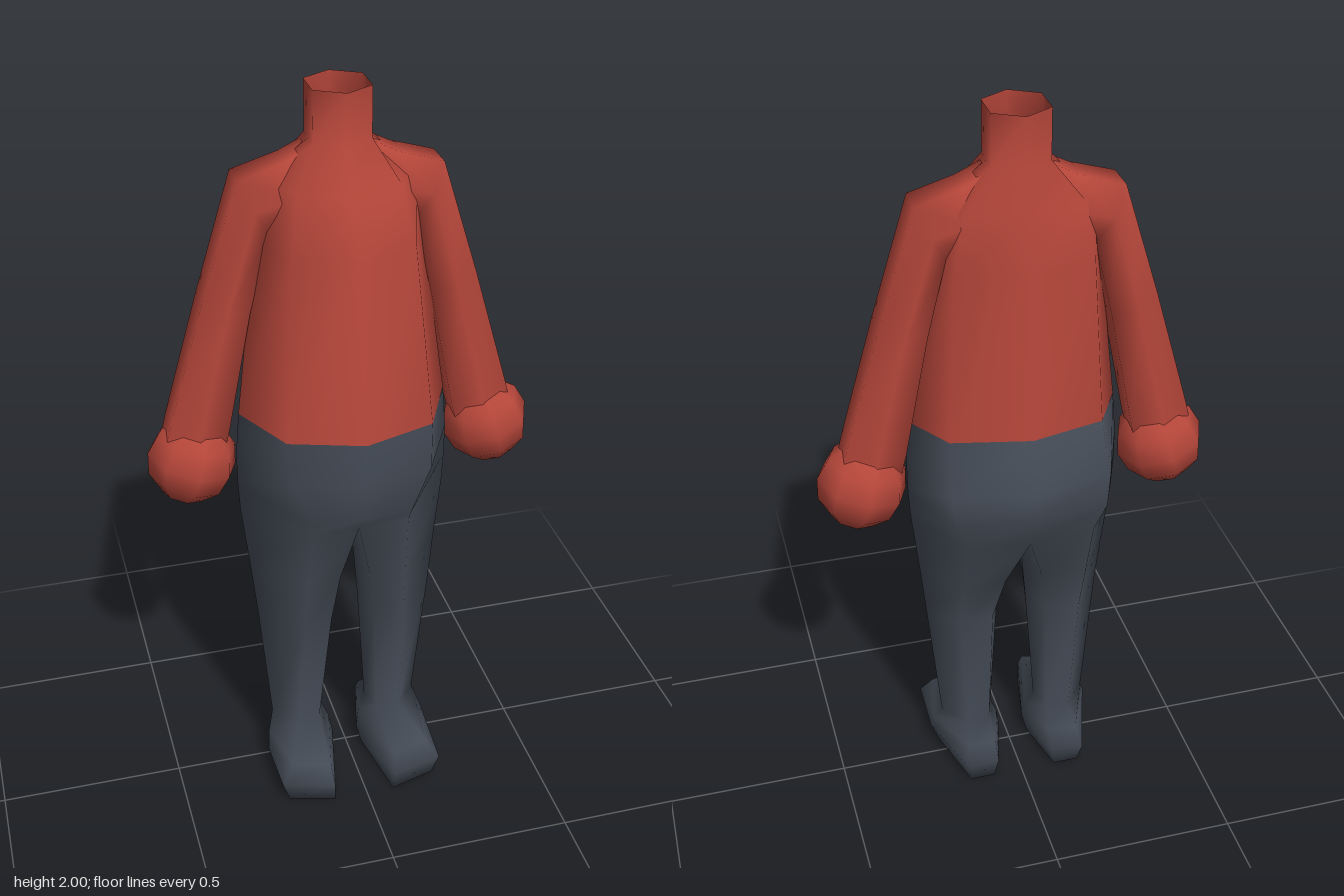
import * as THREE from 'three';
import { mergeGeometries, mergeVertices } from 'three/addons/utils/BufferGeometryUtils.js';

// Skin between closed rings of [x, y, z] points, listed bottom to top.
function loft(rings, capBottom = false) {
  const n = rings[0].length;
  const index = [];
  for (let r = 0; r < rings.length - 1; r++) {
    for (let j = 0; j < n; j++) {
      const k = (j + 1) % n;
      const a = r * n + j, b = r * n + k;
      index.push(a, b, b + n, a, b + n, a + n);
    }
  }
  if (capBottom) for (let j = 1; j < n - 1; j++) index.push(0, j + 1, j);
  const g = new THREE.BufferGeometry();
  g.setAttribute('position', new THREE.Float32BufferAttribute(rings.flat(2), 3));
  g.setIndex(index);
  return g;
}

// Weld touching pieces so shading runs smoothly across them.
function weld(...parts) {
  const g = mergeVertices(parts.length > 1 ? mergeGeometries(parts) : parts[0], 1e-4);
  g.computeVertexNormals();
  return g;
}

const flip = ([x, y, z]) => [-x, y, z];
const mirrorRings = (rings) => rings.map((ring) => ring.map(flip).reverse());

// Full body ring from its right-hand half: front, front side, side, back side, back.
const bodyRing = (half) => [...half, ...half.slice(1, 4).reverse().map(flip)];
const level = (y, pts) => pts.map(([x, z]) => [x, y, z]);

export function createModel() {
  const model = new THREE.Group();
  const shirt = new THREE.MeshStandardMaterial({ color: 0xb5463a, side: THREE.DoubleSide });
  shirt.name = 'red shirt';
  const slate = new THREE.MeshStandardMaterial({ color: 0x454c57, side: THREE.DoubleSide });
  slate.name = 'slate trousers';

  const add = (name, geometry, material, parent) => {
    const mesh = new THREE.Mesh(geometry, material);
    mesh.name = name;
    parent.add(mesh);
    return mesh;
  };

  const body = new THREE.Group();
  body.name = 'body';
  body.position.x = -0.008;
  model.add(body);

  // Torso with an open hexagonal neck
  const waist = [[0, 1.16, 0.24], [0.19, 1.16, 0.178], [0.275, 1.16, 0], [0.2, 1.17, -0.14], [0, 1.18, -0.2]];
  const neck = [[0, 0.053], [0.073, 0.01], [0.073, -0.035], [0.073, -0.08], [0, -0.122]];
  const torso = [
    waist,
    level(1.62, [[0, 0.16], [0.155, 0.12], [0.215, -0.03], [0.175, -0.12], [0, -0.158]]),
    level(1.77, [[0, 0.102], [0.13, 0.07], [0.2, -0.04], [0.15, -0.115], [0, -0.14]]),
    level(1.87, neck),
    level(2.0, neck),
  ].map(bodyRing);
  add('torso', weld(loft(torso)), shirt, body);

  // Trousers: hips, then two legs sharing the crotch points
  const crotch = [[0, 0.87, 0.17], [0.13, 0.88, 0.182], [0.28, 0.87, 0], [0.17, 0.87, -0.19], [0, 0.85, -0.185]];
  const hips = [
    crotch,
    [[0, 0.92, 0.205], [0.13, 0.92, 0.205], [0.284, 0.95, 0], [0.2, 0.95, -0.205], [0, 0.95, -0.22]],
    level(1.04, [[0, 0.235], [0.185, 0.195], [0.285, 0], [0.21, -0.195], [0, -0.245]]),
    waist,
  ].map(bodyRing);

  // Foot and leg, sole upward: inner front, front, outer, back, inner back, inner
  const leg = [
    level(0, [[0.085, 0.24], [0.21, 0.205], [0.21, 0.04], [0.16, -0.14], [0.09, -0.14], [0.05, 0.02]]),
    level(0.06, [[0.088, 0.25], [0.23, 0.213], [0.235, 0.05], [0.17, -0.156], [0.08, -0.15], [0.036, 0.02]]),
    level(0.11, [[0.092, 0.22], [0.195, 0.19], [0.228, 0.03], [0.16, -0.12], [0.08, -0.115], [0.045, 0.01]]),
    level(0.16, [[0.085, 0.06], [0.15, 0.07], [0.21, 0], [0.15, -0.075], [0.085, -0.062], [0.065, 0]]),
    level(0.54, [[0.06, 0.11], [0.14, 0.13], [0.245, 0.01], [0.17, -0.086], [0.075, -0.075], [0.04, 0.01]]),
    level(0.69, [[0.04, 0.13], [0.135, 0.152], [0.26, 0.005], [0.17, -0.135], [0.05, -0.12], [0.028, 0.01]]),
    [...crotch, [0, 0.84, 0]],
  ];
  add('trousersAndFeet', weld(loft(hips), loft(leg, true), loft(mirrorRings(leg), true)), slate, body);

  // Arms: hexagonal rings from an outer point, an inner point and a half depth
  const armRing = ([ox, oy], [ix, iy], d) => {
    const at = (t, z) => [ox + (ix - ox) * t, oy + (iy - oy) * t, -0.04 + z];
    return [at(0.5, d), at(0, d * 0.55), at(0, -d * 0.55), at(0.5, -d), at(1, -d * 0.55), at(1, d * 0.55)];
  };
  const arm = [
    armRing([0.465, 1.09], [0.315, 1.05], 0.072),
    armRing([0.45, 1.15], [0.3, 1.11], 0.072),
    armRing([0.355, 1.48], [0.235, 1.44], 0.072),
    armRing([0.258, 1.79], [0.185, 1.65], 0.08),
    armRing([0.14, 1.826], [0.12, 1.66], 0.075),
    armRing([0.06, 1.868], [0.06, 1.7], 0.06),
  ];
  for (const [name, s] of [['left', 1], ['right', -1]]) {
    add(name + 'Arm', weld(loft(s > 0 ? arm : mirrorRings(arm))), shirt, body);
    // Rounded fist, tilted along the arm
    const hand = add(name + 'Hand', new THREE.SphereGeometry(0.119, 8, 6), shirt, model);
    hand.position.set(s * 0.403, 1.022, -0.04);
    hand.rotation.z = s * 0.28;
  }
  return model;
}
